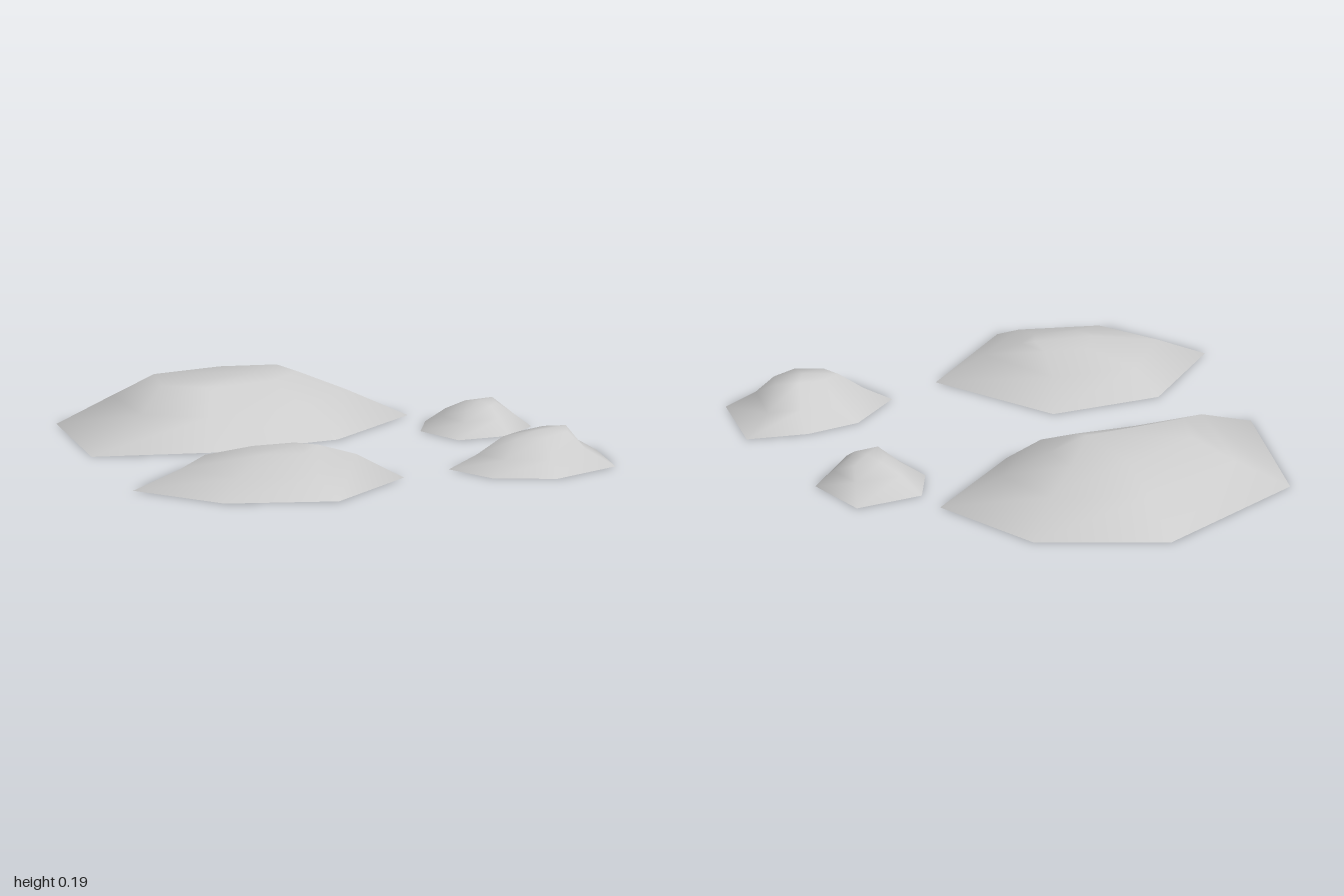
import * as THREE from 'three';

// One smooth mound: rings of [x, z, y] from the ground upward, closed by a peak and a flat base.
function mound(name, material, foot, slope, shoulder, peak) {
  const n = foot.length;
  const points = [...foot, ...slope, ...shoulder, peak];
  const index = [];
  for (let i = 0; i < n; i++) {
    const j = (i + 1) % n;
    for (let r = 0; r < 2; r++) {
      const a = r * n + i, b = r * n + j;
      index.push(a, b, b + n, a, b + n, a + n);
    }
    index.push(2 * n + i, 2 * n + j, 3 * n);
  }
  // the base has its own corners, so the rim stays sharp
  const base = points.length;
  points.push(...foot);
  for (let i = 1; i < n - 1; i++) index.push(base, base + i + 1, base + i);

  const geometry = new THREE.BufferGeometry();
  geometry.setAttribute('position', new THREE.Float32BufferAttribute(
    points.flatMap(([x, z, y = 0]) => [x, y, z]), 3));
  geometry.setIndex(index);
  geometry.computeVertexNormals();
  const mesh = new THREE.Mesh(geometry, material);
  mesh.name = name;
  return mesh;
}

export function createModel() {
  const model = new THREE.Group();
  model.name = 'moundCluster';
  const stone = new THREE.MeshStandardMaterial({ color: 0xcccccc });
  stone.name = 'pale grey';

  // large mound at the back, with a ridge running to its front corner
  model.add(mound('largeMound', stone,
    [[-0.88, 0.04], [-0.44, 0.04], [0.02, -0.12], [0.34, -0.52], [0.09, -0.9], [-0.38, -1], [-0.89, -0.58]],
    [[-0.67, -0.13, 0.11], [-0.43, -0.14, 0.09], [-0.08, -0.22, 0.1], [0.12, -0.52, 0.1],
      [0, -0.77, 0.11], [-0.34, -0.81, 0.1], [-0.7, -0.55, 0.1]],
    [[-0.57, -0.31, 0.175], [-0.4, -0.32, 0.16], [-0.17, -0.36, 0.17], [-0.05, -0.51, 0.17],
      [-0.1, -0.65, 0.17], [-0.3, -0.65, 0.17], [-0.56, -0.5, 0.18]],
    [-0.2, -0.43, 0.19]));

  // wide mound at the front
  model.add(mound('wideMound', stone,
    [[-0.85, 0.68], [-0.58, 0.97], [-0.18, 1], [0.12, 0.61], [-0.22, 0.24], [-0.61, 0.32]],
    [[-0.68, 0.67, 0.07], [-0.51, 0.85, 0.065], [-0.23, 0.87, 0.065], [-0.05, 0.61, 0.09],
      [-0.25, 0.38, 0.08], [-0.55, 0.43, 0.07]],
    [[-0.44, 0.64, 0.115], [-0.4, 0.7, 0.115], [-0.25, 0.7, 0.115], [-0.18, 0.6, 0.125],
      [-0.25, 0.52, 0.12], [-0.4, 0.53, 0.115]],
    [-0.23, 0.6, 0.128]));

  // steep mound at the front
  model.add(mound('steepMound', stone,
    [[0.3, 0.49], [0.42, 0.68], [0.64, 0.73], [0.88, 0.54], [0.87, 0.23], [0.65, 0.235], [0.46, 0.3]],
    [[0.4, 0.49, 0.05], [0.48, 0.61, 0.05], [0.64, 0.64, 0.05], [0.78, 0.51, 0.06],
      [0.78, 0.31, 0.06], [0.66, 0.31, 0.06], [0.52, 0.37, 0.06]],
    [[0.49, 0.49, 0.11], [0.53, 0.55, 0.11], [0.63, 0.56, 0.115], [0.72, 0.49, 0.12],
      [0.73, 0.4, 0.125], [0.65, 0.4, 0.125], [0.56, 0.43, 0.115]],
    [0.62, 0.48, 0.127]));

  // smallest mound
  model.add(mound('smallMound', stone,
    [[0.33, -0.22], [0.43, -0.03], [0.62, -0.08], [0.725, -0.24], [0.625, -0.47], [0.38, -0.4]],
    [[0.41, -0.22, 0.05], [0.46, -0.09, 0.05], [0.59, -0.12, 0.055], [0.66, -0.23, 0.05],
      [0.61, -0.38, 0.06], [0.44, -0.34, 0.055]],
    [[0.47, -0.22, 0.085], [0.48, -0.13, 0.085], [0.57, -0.17, 0.09], [0.6, -0.23, 0.09],
      [0.6, -0.31, 0.095], [0.5, -0.29, 0.09]],
    [0.54, -0.23, 0.1]));

  return model;
}
